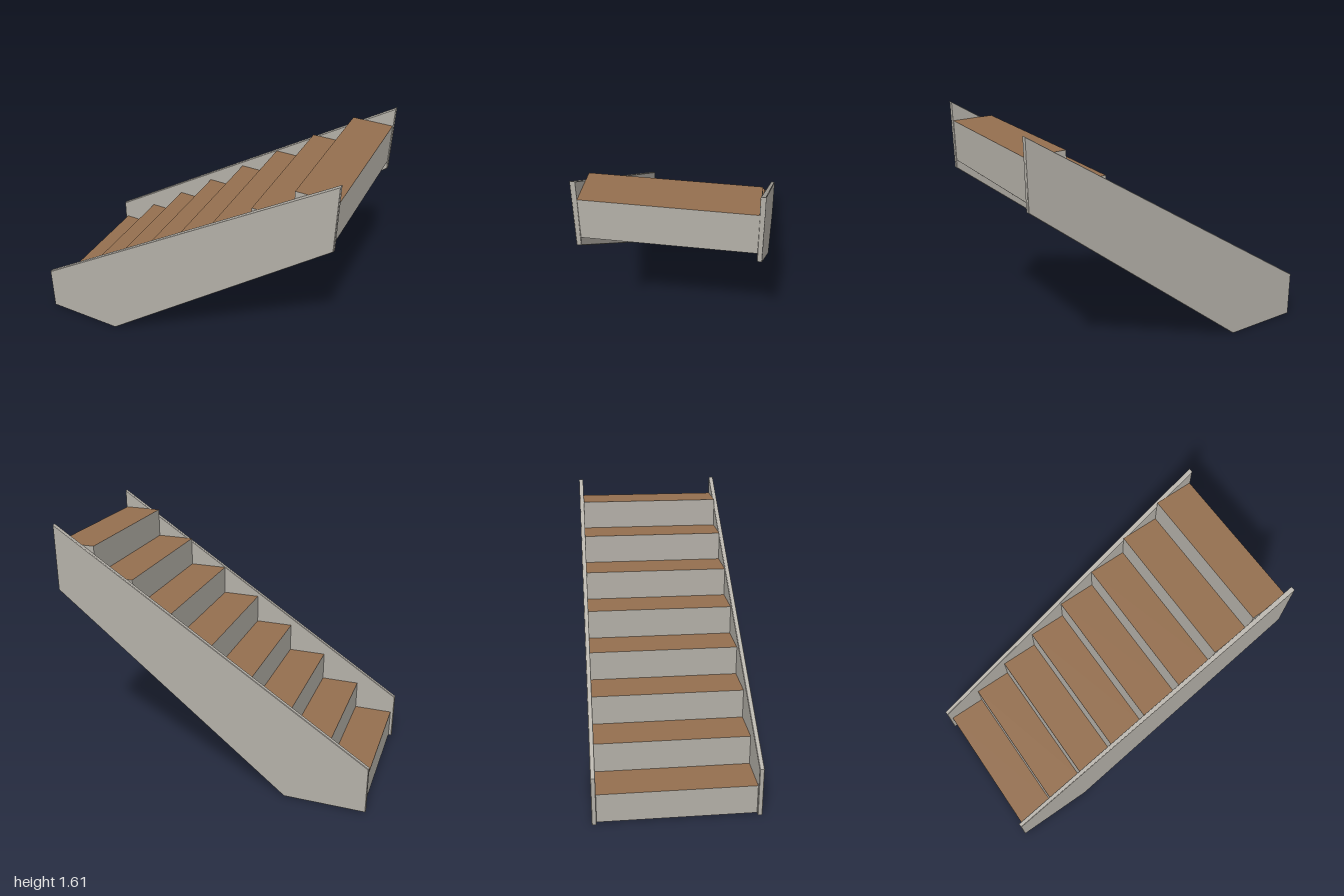
import * as THREE from 'three';

const STEPS = 8;
const RISE = 0.186;
const FIRST_X = -0.98;
const LAST_X = 0.995;
const RUN = (LAST_X - FIRST_X) / STEPS;
const INNER = 0.467; // half width between the side boards
const BOARD = 0.028; // side board thickness
const BEVEL = 0.003;

const stone = new THREE.MeshStandardMaterial({ color: 0xb4b0a8 });
stone.name = 'warm grey';
const wood = new THREE.MeshStandardMaterial({ color: 0x946f4f });
wood.name = 'brown tread';

const shapeFrom = (points) => new THREE.Shape(points.map(([x, y]) => new THREE.Vector2(x, y)));

// Give every upward-facing triangle the second material
function paintTops(geometry) {
  const normal = geometry.attributes.normal;
  geometry.clearGroups();
  for (let i = 0; i < normal.count; i += 3) {
    geometry.addGroup(i, 3, normal.getY(i) > 0.9 ? 1 : 0);
  }
  return geometry;
}

// Solid flight: stepped top, sloping underside, flat foot
function makeFlight() {
  const points = [[FIRST_X, 0.004], [-0.495, 0.004], [LAST_X, 1.24]];
  for (let i = STEPS; i > 0; i--) {
    points.push([FIRST_X + i * RUN, i * RISE], [FIRST_X + (i - 1) * RUN, i * RISE]);
  }
  const geometry = new THREE.ExtrudeGeometry(shapeFrom(points), {
    depth: INNER * 2, bevelEnabled: false,
  });
  geometry.translate(0, 0, -INNER);
  const mesh = new THREE.Mesh(paintTops(geometry), [stone, wood]);
  mesh.name = 'stepFlight';
  return mesh;
}

// Side board with slightly eased edges
function makeSideBoard(name, z) {
  const outline = shapeFrom([[-1, 0], [-0.487, 0], [1, 1.19], [1, 1.605], [-1, 0.305]]);
  const geometry = new THREE.ExtrudeGeometry(outline, {
    depth: BOARD - 2 * BEVEL, bevelEnabled: true, bevelSegments: 1,
    bevelSize: BEVEL, bevelThickness: BEVEL, bevelOffset: -BEVEL,
  });
  geometry.translate(0, 0, z - BOARD / 2 + BEVEL);
  const mesh = new THREE.Mesh(geometry, stone);
  mesh.name = name;
  return mesh;
}

export function createModel() {
  const group = new THREE.Group();
  group.name = 'staircase';
  const offset = INNER + BOARD / 2;
  group.add(
    makeFlight(),
    makeSideBoard('frontSideBoard', offset),
    makeSideBoard('backSideBoard', -offset),
  );
  return group;
}
